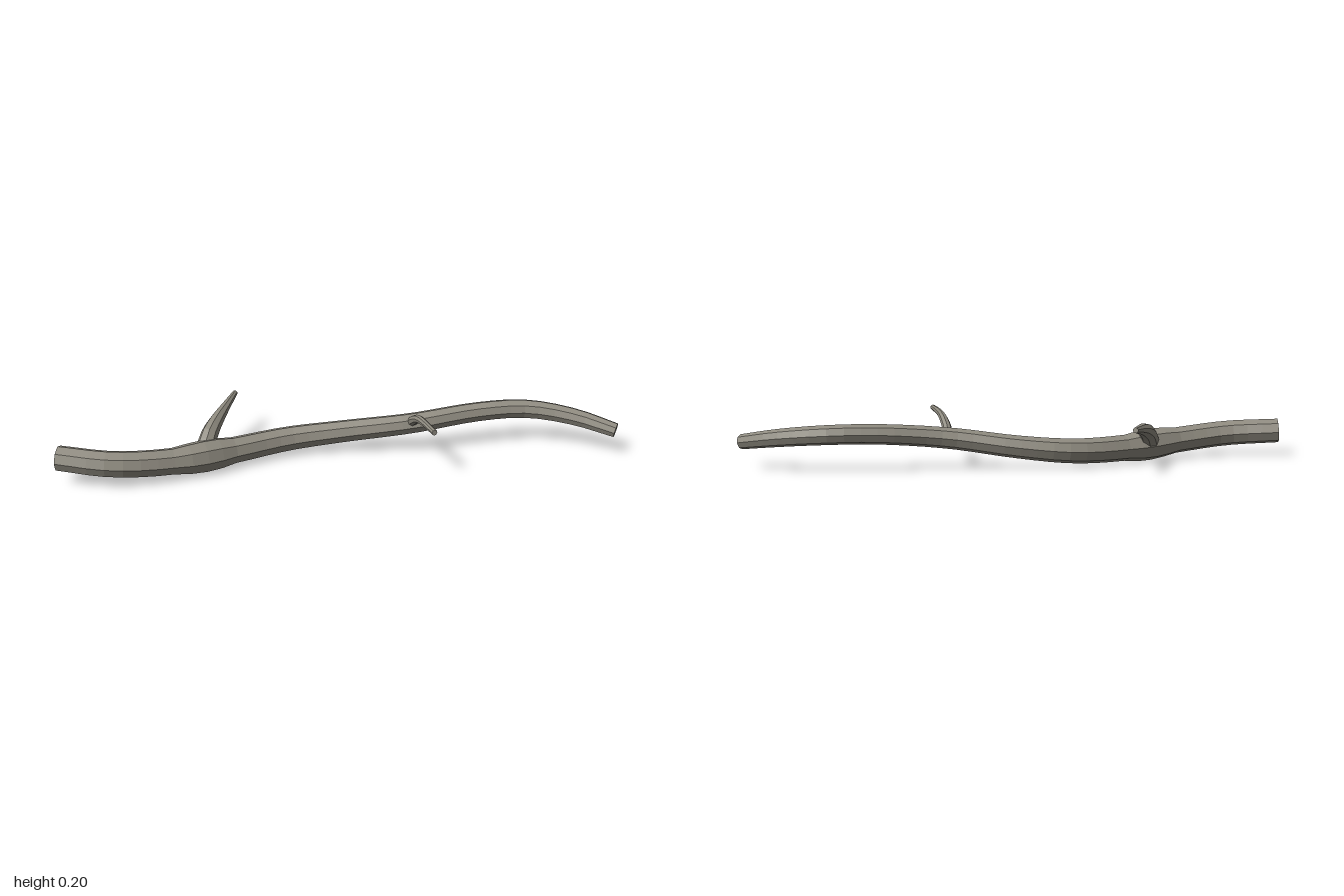
import * as THREE from 'three';

const material = new THREE.MeshStandardMaterial({ color: 0x8f8b80, flatShading: true });

// Capped, tapering limb: a cylinder bent along a smooth curve.
// Each point is [x, y, z, radius].
function limb(name, points, segments, sides) {
  const curve = new THREE.CatmullRomCurve3(points.map(([x, y, z]) => new THREE.Vector3(x, y, z)));
  const radii = new THREE.CatmullRomCurve3(points.map(([x, y, z, r]) => new THREE.Vector3(r, 0, 0)));
  const frames = curve.computeFrenetFrames(segments, false);
  const geometry = new THREE.CylinderGeometry(1, 1, 1, sides, segments);
  const pos = geometry.attributes.position;
  const v = new THREE.Vector3();
  for (let i = 0; i < pos.count; i++) {
    v.fromBufferAttribute(pos, i);
    const ring = Math.round((v.y + 0.5) * segments);
    const t = curve.getUtoTmapping(ring / segments);
    const r = radii.getPoint(t).x;
    const p = curve.getPoint(t)
      .addScaledVector(frames.normals[ring], v.x * r)
      .addScaledVector(frames.binormals[ring], -v.z * r);
    pos.setXYZ(i, p.x, p.y, p.z);
  }
  geometry.computeVertexNormals();
  const mesh = new THREE.Mesh(geometry, material);
  mesh.name = name;
  return mesh;
}

export function createModel() {
  const group = new THREE.Group();
  group.name = 'branch';

  // Long wavy main stem, thick at -x and thin at +x
  group.add(limb('mainStem', [
    [-0.99, 0.09, 0.14, 0.045],
    [-0.8, 0.077, 0.17, 0.047],
    [-0.6, 0.06, 0.128, 0.048],
    [-0.4, 0.05, 0.04, 0.048],
    [-0.2, 0.054, -0.034, 0.045],
    [0, 0.073, -0.046, 0.041],
    [0.25, 0.106, -0.034, 0.038],
    [0.5, 0.129, -0.07, 0.036],
    [0.68, 0.13, -0.083, 0.035],
    [0.85, 0.114, -0.04, 0.032],
    [0.987, 0.09, 0.028, 0.027],
  ], 36, 8));

  // Larger twig reaching back
  group.add(limb('backTwig', [
    [-0.49, 0.065, 0.055, 0.034],
    [-0.475, 0.105, 0.015, 0.031],
    [-0.45, 0.13, -0.05, 0.025],
    [-0.42, 0.146, -0.13, 0.017],
    [-0.39, 0.158, -0.215, 0.01],
  ], 10, 8));

  // Smaller twig reaching forward
  group.add(limb('frontTwig', [
    [0.25, 0.11, -0.03, 0.019],
    [0.255, 0.138, 0.005, 0.017],
    [0.267, 0.164, 0.05, 0.015],
    [0.282, 0.177, 0.11, 0.012],
    [0.306, 0.183, 0.194, 0.01],
  ], 10, 8));

  return group;
}
